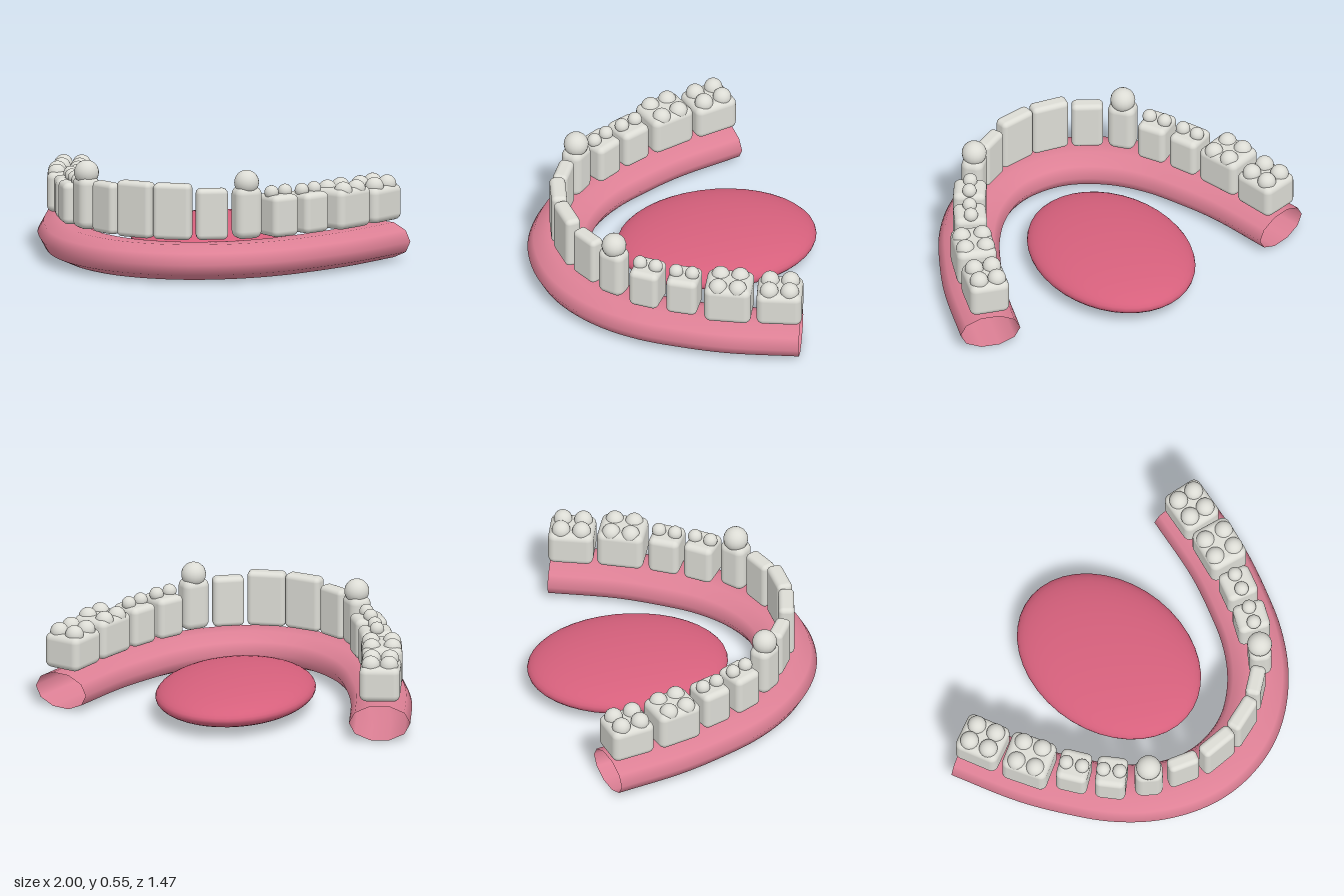
import * as THREE from 'three';
import { RoundedBoxGeometry } from 'three/addons/geometries/RoundedBoxGeometry.js';
import { ParametricGeometry } from 'three/addons/geometries/ParametricGeometry.js';

const enamel = new THREE.MeshStandardMaterial({ color: 0xdcdcd5 });
enamel.name = 'enamel';
const gumPink = new THREE.MeshStandardMaterial({ color: 0xdd8095, side: THREE.DoubleSide });
gumPink.name = 'gumPink';
const tonguePink = new THREE.MeshStandardMaterial({ color: 0xd6607c });
tonguePink.name = 'tonguePink';

const TOOTH_BASE = 0.205;

// One side of the arch, front to back. Angle turns the tooth along the arch;
// cusps are [along the arch, outward] offsets.
const molarCusps = (a, b) => [[-a, -b], [-a, b], [a, -b], [a, b]];
const TEETH = [
  { name: 'centralIncisor', x: 0.1, z: 0.568, deg: 9, w: 0.195, d: 0.08, top: 0.49, r: 0.025, cusps: [] },
  { name: 'lateralIncisor', x: 0.285, z: 0.5, deg: 28, w: 0.16, d: 0.078, top: 0.465, r: 0.025, cusps: [] },
  { name: 'canine', x: 0.435, z: 0.4, deg: 46, w: 0.142, d: 0.115, top: 0.47, r: 0.04, cuspR: 0.063, cuspY: 0.49, cusps: [[0, 0]] },
  { name: 'firstPremolar', x: 0.548, z: 0.25, deg: 57, w: 0.155, d: 0.165, top: 0.417, r: 0.03, cuspR: 0.036, cuspY: 0.427, cusps: [[-0.042, 0], [0.042, 0]] },
  { name: 'secondPremolar', x: 0.643, z: 0.083, deg: 64, w: 0.16, d: 0.165, top: 0.41, r: 0.03, cuspR: 0.036, cuspY: 0.42, cusps: [[-0.042, 0], [0.042, 0]] },
  { name: 'firstMolar', x: 0.745, z: -0.127, deg: 70, w: 0.238, d: 0.205, top: 0.41, r: 0.035, cuspR: 0.047, cuspY: 0.397, cusps: molarCusps(0.05, 0.053) },
  { name: 'secondMolar', x: 0.82, z: -0.373, deg: 74, w: 0.23, d: 0.205, top: 0.387, r: 0.035, cuspR: 0.047, cuspY: 0.388, cusps: molarCusps(0.052, 0.046) },
];

// Rounded crown with ball cusps; side is +1 for left, -1 for right
function makeTooth(t, side) {
  const tooth = new THREE.Group();
  tooth.name = (side > 0 ? 'left' : 'right') + t.name[0].toUpperCase() + t.name.slice(1);
  const height = t.top - TOOTH_BASE;
  const crown = new THREE.Mesh(new RoundedBoxGeometry(t.w, height, t.d, 4, t.r), enamel);
  crown.name = 'crown';
  crown.position.y = TOOTH_BASE + height / 2;
  tooth.add(crown);
  for (const [along, out] of t.cusps) {
    const cusp = new THREE.Mesh(new THREE.SphereGeometry(t.cuspR, 20, 14), enamel);
    cusp.name = 'cusp';
    cusp.position.set(along * side, t.cuspY, out);
    tooth.add(cusp);
  }
  tooth.position.set(t.x * side, 0, t.z);
  tooth.rotation.y = THREE.MathUtils.degToRad(t.deg) * side;
  return tooth;
}

// Open, flattened ten-sided tube swept along the arch
function makeGum() {
  const half = [[0.15, 0.557], [0.29, 0.497], [0.43, 0.392], [0.55, 0.25], [0.645, 0.083], [0.745, -0.135], [0.85, -0.475]];
  const points = [...half.map(([x, z]) => [-x, z]).reverse(), [0, 0.576], ...half];
  const arch = new THREE.CatmullRomCurve3(points.map(([x, z]) => new THREE.Vector3(x, 0.095, z)));
  const sweep = (u, v, target) => {
    const p = arch.getPoint(u), t = arch.getTangent(u), a = v * Math.PI * 2;
    const out = 0.155 * Math.cos(a);
    target.set(p.x - t.z * out, p.y + 0.094 * Math.sin(a), p.z + t.x * out);
  };
  const gum = new THREE.Mesh(new ParametricGeometry(sweep, 80, 10), gumPink);
  gum.name = 'gum';
  return gum;
}

export function createModel() {
  const model = new THREE.Group();
  model.name = 'lowerJaw';
  model.add(makeGum());

  // Flattened oval tongue
  const tongue = new THREE.Mesh(new THREE.SphereGeometry(1, 40, 24), tonguePink);
  tongue.name = 'tongue';
  tongue.scale.set(0.393, 0.104, 0.511);
  tongue.position.set(0, 0.104, -0.229);
  model.add(tongue);

  const teeth = new THREE.Group();
  teeth.name = 'teeth';
  for (const side of [1, -1]) for (const t of TEETH) teeth.add(makeTooth(t, side));
  model.add(teeth);
  return model;
}
